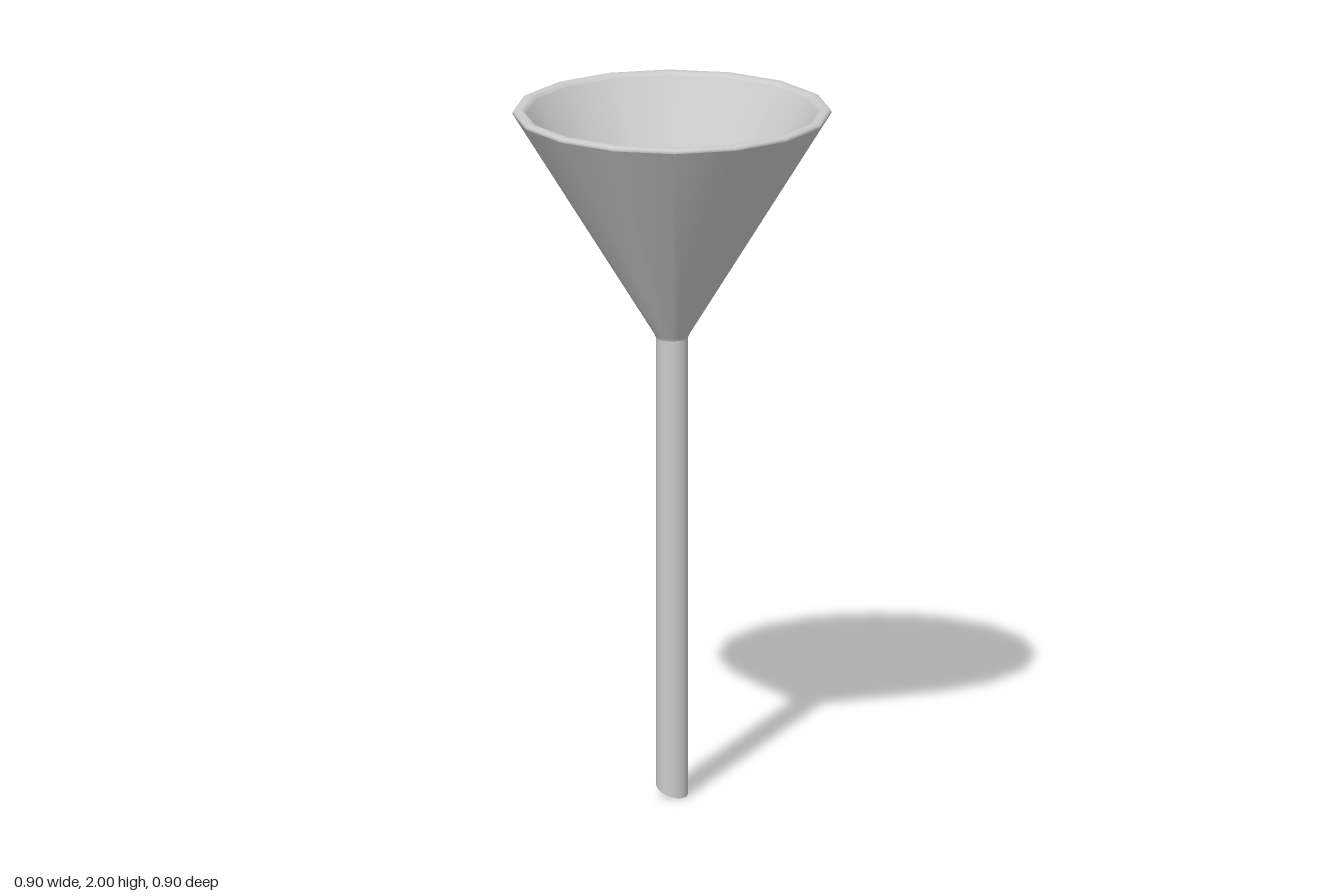
import * as THREE from 'three';

const SIDES = 16;
const STEM_R = 0.045, BORE_R = 0.03, CUT_SLOPE = 0.4;

export function createModel() {
  const funnel = new THREE.Group();
  funnel.name = 'funnel';
  const material = new THREE.MeshStandardMaterial({ color: 0xcccccc });

  // Revolves an [r, y] profile; vertices at y = 0 are moved onto the slanted cut
  const addLathe = (name, profile) => {
    const geometry = new THREE.LatheGeometry(profile.map(([r, y]) => new THREE.Vector2(r, y)), SIDES);
    const p = geometry.attributes.position;
    for (let i = 0; i < p.count; i++) {
      if (p.getY(i) === 0) p.setY(i, (STEM_R - p.getX(i)) * CUT_SLOPE);
    }
    const mesh = new THREE.Mesh(geometry, material);
    mesh.name = name;
    funnel.add(mesh);
  };

  // Bowl: outside wall, rounded rim, inside wall
  addLathe('bowlOutside', [[STEM_R, 1.335], [0.05, 1.346], [0.442, 1.976], [0.449, 1.987]]);
  addLathe('rim', [[0.449, 1.987], [0.45, 1.991], [0.448, 1.996], [0.441, 2], [0.426, 2], [0.419, 1.997], [0.413, 1.99]]);
  addLathe('bowlInside', [[0.413, 1.99], [0.407, 1.98], [0.034, 1.36], [BORE_R, 1.35]]);

  // Stem: tube wall, bore and slanted tip
  addLathe('stemOutside', [[STEM_R, 0], [STEM_R, 1.335]]);
  addLathe('stemBore', [[BORE_R, 1.35], [BORE_R, 0]]);
  addLathe('stemTip', [[BORE_R, 0], [STEM_R, 0]]);

  return funnel;
}
